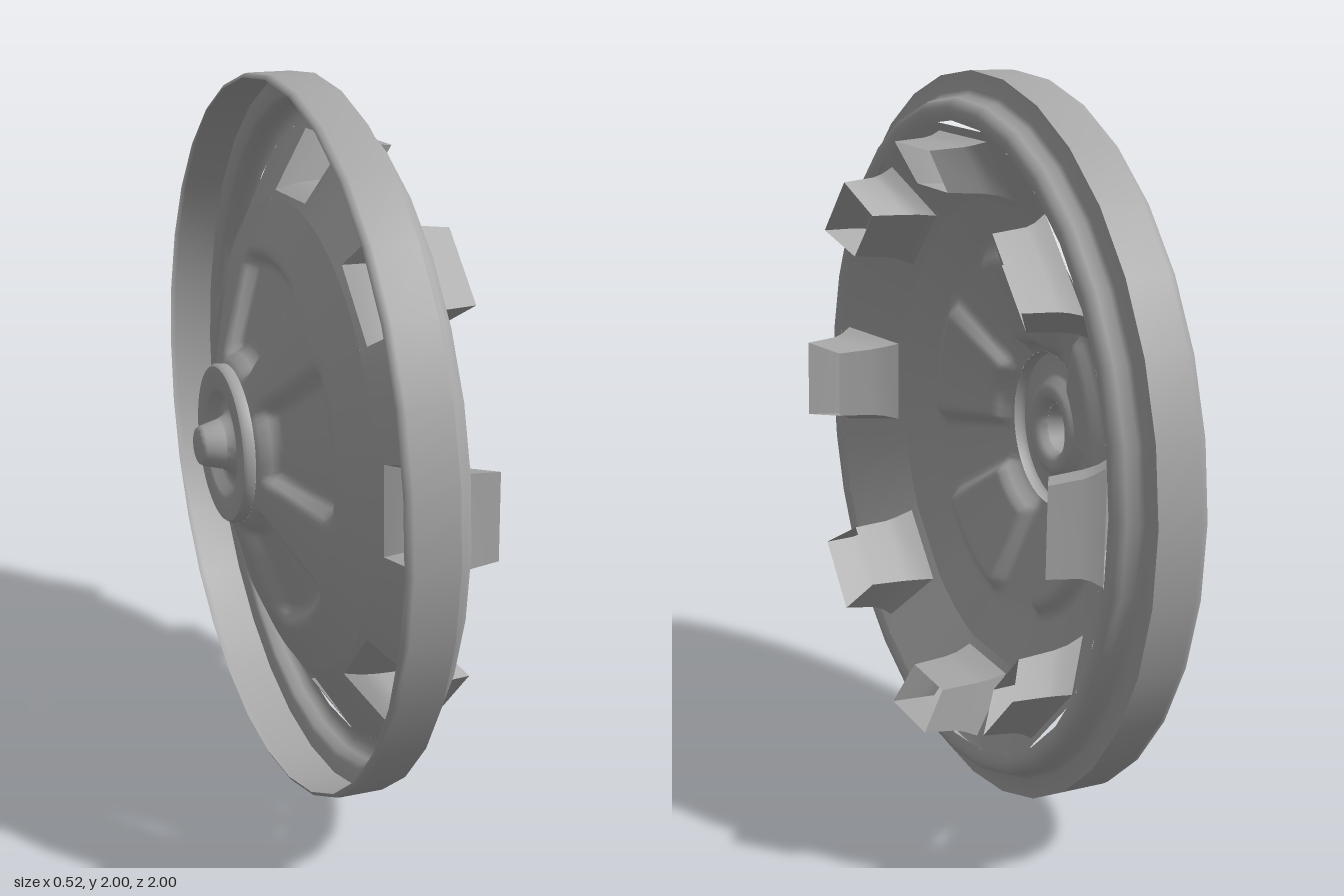
import * as THREE from 'three';
import { toCreasedNormals } from 'three/addons/utils/BufferGeometryUtils.js';

const { degToRad, smoothstep } = THREE.MathUtils;
const grey = new THREE.MeshStandardMaterial({ color: 0xa8a8a8, side: THREE.DoubleSide });
grey.name = 'grey metal';

// Revolve [radius, x] points about the x axis, optionally displacing x by a rule
function revolve(name, points, segments, crease, displace) {
  const g = new THREE.LatheGeometry(points.map(([r, x]) => new THREE.Vector2(r, x)), segments);
  g.rotateZ(-Math.PI / 2);
  if (displace) {
    const p = g.attributes.position;
    for (let i = 0; i < p.count; i++) {
      const r = Math.hypot(p.getY(i), p.getZ(i));
      const a = Math.atan2(p.getZ(i), p.getY(i));
      p.setX(i, p.getX(i) + displace(r, a));
    }
  }
  g.deleteAttribute('normal');
  const mesh = new THREE.Mesh(toCreasedNormals(g, crease), grey);
  mesh.name = name;
  mesh.position.y = 1;
  return mesh;
}

// Conical band carrying eight windows, each with an open slanted sleeve
const bandX = (r) => THREE.MathUtils.mapLinear(r, 0.66, 0.87, 0, 0.13);

function buildBand() {
  const pos = [];
  const at = (r, deg, x = bandX(r)) => {
    const a = degToRad(deg);
    return [x, r * Math.cos(a), r * Math.sin(a)];
  };
  const quad = (a, b, c, d) => pos.push(...a, ...b, ...c, ...a, ...c, ...d);

  const radii = [0.66, 0.682, 0.845, 0.87];
  const angles = [-22.5, -16, -10.2, 10.2, 16, 22.5];
  // Sleeve sections: half angle, inner radius and x, outer radius and x
  const sections = [
    [10.2, 0.682, bandX(0.682), 0.845, bandX(0.845)],
    [9.1, 0.695, 0.06, 0.832, 0.145],
    [8.6, 0.7, 0.1, 0.826, 0.17],
    [8.1, 0.705, 0.2, 0.818, 0.26],
  ];
  for (let k = 0; k < 8; k++) {
    const mid = -2.4 + 45 * k;
    for (let i = 0; i < radii.length - 1; i++) {
      for (let j = 0; j < angles.length - 1; j++) {
        if (i === 1 && j === 2) continue; // window opening
        const [r0, r1, a0, a1] = [radii[i], radii[i + 1], mid + angles[j], mid + angles[j + 1]];
        quad(at(r0, a0), at(r1, a0), at(r1, a1), at(r0, a1));
      }
    }
    const loops = sections.map(([h, ri, xi, ro, xo]) => [
      at(ri, mid - h, xi), at(ro, mid - h, xo), at(ro, mid + h, xo), at(ri, mid + h, xi),
    ]);
    for (let s = 0; s < loops.length - 1; s++) {
      for (let c = 0; c < 4; c++) {
        const n = (c + 1) % 4;
        quad(loops[s][c], loops[s + 1][c], loops[s + 1][n], loops[s][n]);
      }
    }
  }
  const g = new THREE.BufferGeometry();
  g.setAttribute('position', new THREE.Float32BufferAttribute(pos, 3));
  const mesh = new THREE.Mesh(toCreasedNormals(g, 0.95), grey);
  mesh.name = 'windowBandWithSleeves';
  mesh.position.y = 1;
  return mesh;
}

// Five sector-shaped pockets pressed into the dome
function pocket(r, a) {
  const step = (Math.PI * 2) / 5;
  const local = a - degToRad(2);
  const off = Math.abs(local - Math.round(local / step) * step);
  const radial = smoothstep(r, 0.225, 0.265) * (1 - smoothstep(r, 0.475, 0.53));
  const side = 1 - smoothstep(off * r, degToRad(22) * r - 0.025, degToRad(22) * r + 0.02);
  return 0.045 * radial * side;
}

export function createModel() {
  const group = new THREE.Group();
  group.name = 'wheelCover';

  // Outer rim with stepped, rounded shoulder
  group.add(revolve('outerRim', [
    [0.988, -0.065], [0.998, -0.06], [1, -0.045], [1, 0.073], [0.95, 0.077], [0.937, 0.085],
    [0.93, 0.115], [0.92, 0.134], [0.905, 0.141], [0.888, 0.139], [0.87, 0.13],
  ], 32, 1.4));

  group.add(buildBand());

  // Shallow dome
  const dome = [];
  for (let i = 0; i <= 32; i++) {
    const r = 0.22 + (0.44 * i) / 32;
    const x = r < 0.52
      ? THREE.MathUtils.mapLinear(r, 0.22, 0.52, -0.168, -0.065)
      : THREE.MathUtils.mapLinear(r, 0.52, 0.66, -0.065, 0);
    dome.push([r, x]);
  }
  group.add(revolve('pocketedDome', dome, 160, 1.2, pocket));

  // Hub plate with raised inner ring
  group.add(revolve('hubPlate', [
    [0.22, -0.168], [0.222, -0.19], [0.215, -0.2], [0.155, -0.2], [0.145, -0.195],
    [0.13, -0.172], [0.115, -0.166], [0.095, -0.168], [0.08, -0.18], [0.07, -0.2],
  ], 48, 0.9));

  // Hollow tapered stud, closed at its tip
  group.add(revolve('centreStud', [
    [0.07, -0.2], [0.056, -0.252], [0.05, -0.262], [0.044, -0.265], [0.0001, -0.265],
  ], 32, 0.9));

  return group;
}
